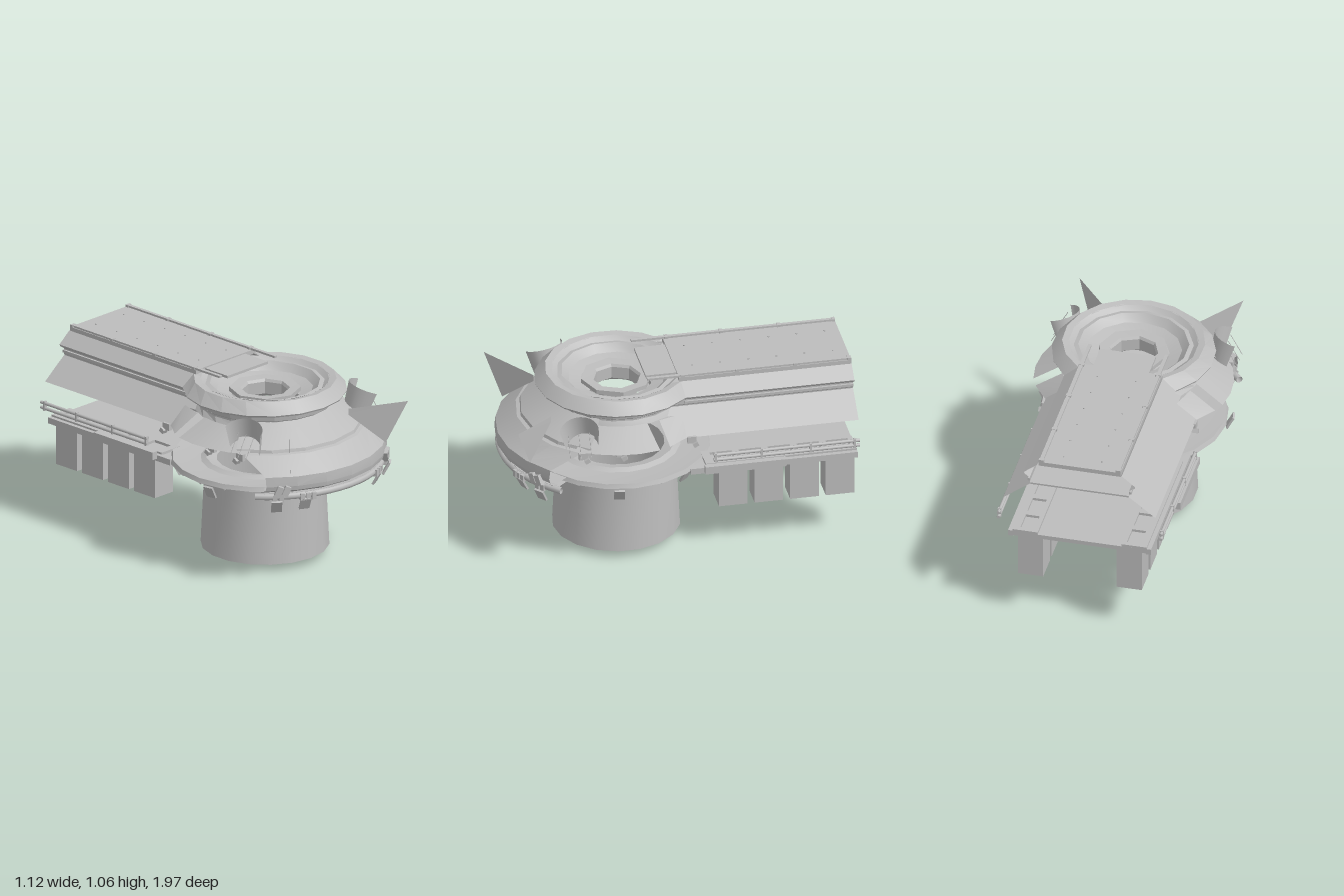
import * as THREE from 'three';
import { toCreasedNormals } from 'three/addons/utils/BufferGeometryUtils.js';

const CZ = 0.31;      // centre of the round part
const BACK = -0.98;   // rear end of the channel
const V2 = (p) => new THREE.Vector2(p[0], p[1]);

export function createModel() {
  const model = new THREE.Group();
  const grey = new THREE.MeshStandardMaterial({ color: 0xbcbcbc, side: THREE.DoubleSide });
  grey.name = 'hull grey';

  const add = (name, geo, x = 0, y = 0, z = 0) => {
    const m = new THREE.Mesh(geo, grey);
    m.name = name;
    m.position.set(x, y, z);
    model.add(m);
    return m;
  };
  const box = (name, w, h, d, x, y, z) => add(name, new THREE.BoxGeometry(w, h, d), x, y, z);
  // Turned part around the round centre; angle 0 faces the front
  const turned = (name, pts, segs = 18, from = 0, len = Math.PI * 2) =>
    add(name, toCreasedNormals(new THREE.LatheGeometry(pts.map(V2), segs, from, len), 0.45), 0, 0, CZ);
  const polar = (r, t) => [r * Math.sin(t), CZ + r * Math.cos(t)];
  // Arc of n steps from angle a to -a
  const arc = (r, a, n) => Array.from({ length: n + 1 }, (_, i) => polar(r, a - (2 * a * i) / n));
  // Keyhole outline: round front of radius r joined to a channel of half width w
  const keyhole = (r, w) => [[w, BACK], ...arc(r, Math.PI - Math.asin(w / r), 14), [-w, BACK]];
  // Skin through rows of [x, z] points, each row at its own height
  const loft = (name, rows, heights) => {
    const pos = [], idx = [];
    const n = rows[0].length;
    rows.forEach((row, j) => row.forEach(([x, z]) => pos.push(x, heights[j], z)));
    for (let j = 0; j < rows.length - 1; j++)
      for (let i = 0; i < n - 1; i++) {
        const a = j * n + i, b = a + n;
        idx.push(a, a + 1, b, b, a + 1, b + 1);
      }
    const g = new THREE.BufferGeometry();
    g.setAttribute('position', new THREE.Float32BufferAttribute(pos, 3));
    g.setIndex(idx);
    return add(name, toCreasedNormals(g, 0.3));
  };
  // Horizontal plate cut from an outline in x and z, with its top at y
  const plate = (name, outline, y, depth, holes = []) => {
    const s = new THREE.Shape(outline.map(V2));
    holes.forEach((h) => s.holes.push(new THREE.Path(h.map(V2))));
    const g = new THREE.ExtrudeGeometry(s, { depth, bevelEnabled: false });
    return add(name, g.rotateX(Math.PI / 2), 0, y, 0);
  };
  const rect = (x0, x1, z0, z1) => [[x0, z0], [x1, z0], [x1, z1], [x0, z1]];
  const flat = (name, pts) => {
    const g = new THREE.BufferGeometry();
    g.setAttribute('position', new THREE.Float32BufferAttribute(pts.flat(), 3));
    g.setIndex([0, 1, 2, 0, 2, 3]);
    g.computeVertexNormals();
    return add(name, g);
  };

  // Hanging drum with a recessed bottom and a short pipe
  turned('drum', [[0.335, 0.55], [0.36, 0.043], [0.325, 0.043], [0.32, 0.06], [0.15, 0.06]], 18);
  turned('drumPipe', [[0.157, 0.06], [0.157, 0], [0.15, 0], [0.15, 0.09], [0, 0.09]], 24);

  // Lower floor: round ring, front apron and rear deck
  turned('floorRing', [[0.27, 0.55], [0.33, 0.565], [0.36, 0.55], [0.44, 0.555], [0.52, 0.565],
    [0.53, 0.54], [0.34, 0.53]], 20);
  turned('frontFloor', [[0.5, 0.56], [0.66, 0.58], [0.66, 0.545], [0.5, 0.535]], 8, -0.8, 1.6);
  plate('rearDeck', rect(-0.39, 0.39, BACK, 0), 0.55, 0.025);
  for (let i = 0; i < 20; i++) {
    const t = (i / 20) * Math.PI * 2;
    const [x, z] = polar(0.43, t);
    box('floorRib', 0.01, 0.012, 0.17, x, 0.533, z).rotation.y = t;
  }

  // Front shell, cut off at the sides: skirt, sloped apron, window step, upper slope
  const shell = [[0.64, 0.58], [0.675, 0.6], [0.68, 0.625], [0.675, 0.68], [0.565, 0.77],
    [0.545, 0.775], [0.54, 0.793], [0.44, 0.86], [0.38, 0.9]];
  const shellRow = ([r]) => arc(r, Math.asin(Math.min(0.48 / r, 0.9)), 6);
  loft('frontShell', shell.map(shellRow), shell.map((p) => p[1]));
  const pipe = new THREE.TorusGeometry(0.655, 0.02, 8, 16, 1.76);
  pipe.rotateX(Math.PI / 2).rotateY(0.88 - Math.PI / 2);
  add('frontPipe', pipe, 0, 0.56, CZ);

  // Roof skin given as radius, channel half width and height; ceiling and funnel
  const roof = [[0.36, 0.232, 1.02], [0.37, 0.235, 1.022], [0.4, 0.242, 1.028], [0.46, 0.32, 0.965],
    [0.455, 0.315, 0.955], [0.39, 0.285, 0.935], [0.385, 0.285, 0.905], [0.375, 0.28, 0.895], [0.395, 0.325, 0.86]];
  loft('roof', roof.map(([r, w]) => keyhole(r, w)), roof.map((p) => p[2]));
  plate('ceiling', keyhole(0.38, 0.282), 0.9, 0.01, [arc(0.2, Math.PI, 20).slice(1)]);
  turned('funnel', [[0.365, 1.022], [0.335, 1.0], [0.31, 1.005], [0.27, 0.965], [0.2, 0.945]], 14);
  turned('funnelCollar', [[0.2, 0.945], [0.2, 0.97], [0.14, 0.965], [0.13, 0.95], [0.13, 0.88]], 8);
  turned('funnelLip', [[0.2, 0.9], [0.2, 0.87], [0.15, 0.86], [0.13, 0.88]], 20);
  turned('ceilingRing', [[0.3, 0.89], [0.3, 0.87], [0.27, 0.87], [0.27, 0.89]], 20);
  for (let z = -0.45; z < 0; z += 0.15) box('ceilingRib', 0.55, 0.01, 0.012, 0, 0.886, z);

  // Raised walkway along the roof
  box('walkway', 0.47, 0.025, 0.98, 0, 1.0355, -0.49);
  box('walkwayTongue', 0.32, 0.015, 0.18, 0, 1.033, 0.085);
  for (let z = -0.9; z < 0; z += 0.16)
    for (const x of [-0.11, 0.11])
      add('walkwayBolt', new THREE.CylinderGeometry(0.005, 0.005, 0.008, 6), x, 1.05, z);

  // Parts mirrored to both sides
  for (const s of [1, -1]) {
    const side = s > 0 ? 'left' : 'right';
    box(side + 'WalkwayRail', 0.02, 0.012, 1.16, s * 0.22, 1.053, -0.4);
    for (const z of [-0.97, -0.66, -0.33, -0.02])
      box(side + 'WalkwayPost', 0.03, 0.022, 0.02, s * 0.22, 1.05, z);
    box(side + 'RoofStrip', 0.012, 0.015, 0.96, s * 0.291, 0.92, -0.5);

    // Flared flaps under the roof edge
    flat(side + 'ChannelFlap', [[s * 0.32, 0.865, BACK], [s * 0.32, 0.865, 0],
      [s * 0.435, 0.775, 0], [s * 0.435, 0.775, BACK]]);
    flat(side + 'NeckFlap', [[s * 0.32, 0.865, 0], [s * 0.365, 0.865, 0.14],
      [s * 0.515, 0.775, 0.11], [s * 0.435, 0.775, 0]]);
    turned(side + 'RoundFlap', [[0.395, 0.865], [0.56, 0.775]], 4, s > 0 ? 0.95 : -1.82, 0.87);

    // Vertical fin and scoop
    flat(side + 'Fin', [[s * 0.47, 0.93, 0.965], [s * 0.235, 0.885, 0.73],
      [s * 0.235, 0.85, 0.73], [s * 0.38, 0.685, 0.88]]);
    const scoop = add(side + 'Scoop',
      new THREE.CylinderGeometry(0.11, 0.09, 0.15, 12, 1, true, Math.PI, Math.PI), s * 0.475, 0.85, 0.61);
    scoop.rotation.set(0.1, s > 0 ? -0.3 : Math.PI + 0.3, -0.3);

    // Hanging tanks
    for (let i = 0; i < 4; i++)
      box(side + 'Tank', 0.145, 0.265, 0.163, s * 0.2825, 0.3975, -0.283 - i * 0.2025);

    // Ladder frame on the deck
    const holes = [];
    for (let i = 0; i < 5; i++) {
      const z = -0.95 + i * 0.165;
      holes.push(rect(s * 0.265, s * 0.345, z, z + 0.125));
    }
    plate(side + 'DeckFrame', rect(s * 0.24, s * 0.385, BACK, -0.12), 0.565, 0.016, holes);
    box(side + 'DeckEdge', 0.03, 0.035, 0.95, s * 0.395, 0.537, -0.505);

    // Side block, twin rails and their brackets
    box(side + 'SideBlock', 0.035, 0.045, 0.46, s * 0.46, 0.573, -0.33);
    for (const y of [0.632, 0.662]) {
      const rail = new THREE.CylinderGeometry(0.01, 0.01, 0.83, 8).rotateX(Math.PI / 2);
      add(side + 'Rail', rail, s * 0.465, y, -0.565);
    }
    for (const z of [-0.16, -0.42, -0.7, -0.95])
      box(side + 'RailBracket', 0.02, 0.055, 0.012, s * 0.465, 0.647, z);

    // Clips around the lower ring, leaning outwards at the top
    for (const [t, r] of [[0.45, 0.66], [0.7, 0.68], [1.4, 0.54], [2.25, 0.5]]) {
      const [x, z] = polar(r, t);
      box(side + 'Clip', 0.06, 0.08, 0.012, s * x, 0.51, z).rotation.set(0.5, s * t, 0, 'YXZ');
    }
    for (const t of [0.38, 0.43, 0.48, 0.66, 0.71]) {
      const [x, z] = polar(0.66, t);
      box(side + 'PipeClamp', 0.025, 0.04, 0.045, s * x, 0.555, z).rotation.y = s * t;
    }
    for (const t of [0.62, 0.68]) {
      const [x, z] = polar(0.68, t);
      box(side + 'SkirtClamp', 0.035, 0.06, 0.03, s * x, 0.6, z).rotation.set(0, s * t, s * 0.4);
    }

    // Lamps under the flap and thin aerials
    for (const [x, z] of [[0.49, 0.6], [0.5, 0.39], [0.43, -0.03]]) {
      box(side + 'LampArm', 0.025, 0.04, 0.05, s * x, 0.76, z);
      box(side + 'Lamp', 0.035, 0.025, 0.03, s * (x + 0.01), 0.735, z - 0.02).rotation.x = 0.5;
    }
    for (const z of [0.56, 0.62, 0.68])
      add(side + 'Aerial', new THREE.CylinderGeometry(0.002, 0.002, 0.14, 4), s * 0.5, 0.83, z).rotation.z = s * 0.5;
  }
  return model;
}
